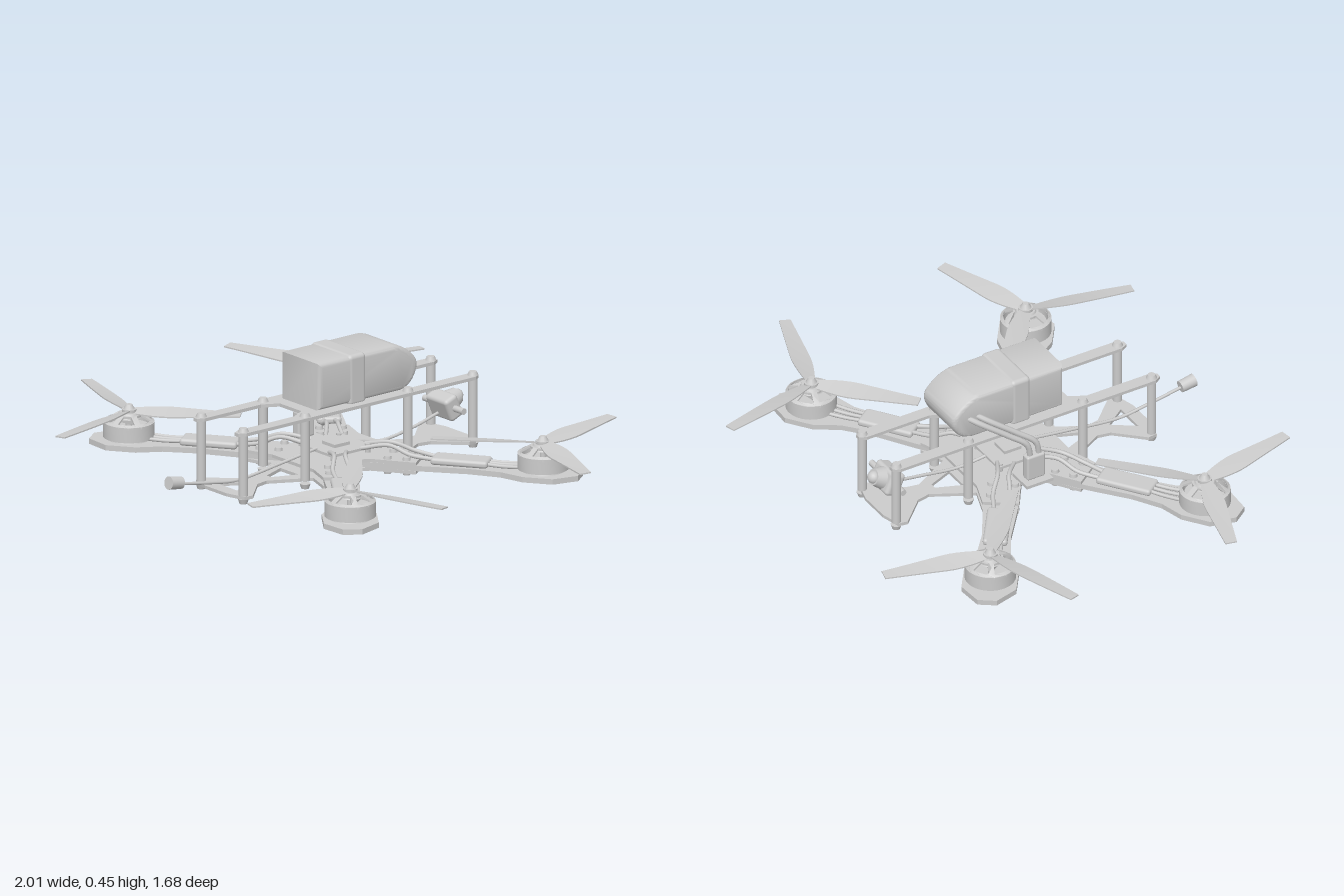
import * as THREE from 'three';
import { RoundedBoxGeometry } from 'three/addons/geometries/RoundedBoxGeometry.js';
import { toCreasedNormals } from 'three/addons/utils/BufferGeometryUtils.js';

const grey = new THREE.MeshStandardMaterial({ color: 0xcccccc });
const V = (x, y, z) => new THREE.Vector3(x, y, z);

function add(parent, name, geo, x = 0, y = 0, z = 0) {
  const m = new THREE.Mesh(geo, grey);
  m.name = name;
  m.position.set(x, y, z);
  parent.add(m);
  return m;
}
const cyl = (rTop, rBottom, h, n = 20) => new THREE.CylinderGeometry(rTop, rBottom, h, n);
const poly = (pts) => pts.map(([x, z]) => new THREE.Vector2(x, z));

// Flat plate from an (x, z) outline, lying between two heights
function plate(outline, y0, y1, holes = []) {
  const s = new THREE.Shape(poly(outline));
  for (const h of holes) s.holes.push(new THREE.Path(poly(h)));
  const g = new THREE.ExtrudeGeometry(s, { depth: y1 - y0, bevelEnabled: false });
  return g.rotateX(Math.PI / 2).translate(0, y1, 0);
}
// Complete a quarter outline (+x axis to +z axis) by mirroring in x and z
function fourfold(q) {
  const half = [...q, ...q.slice().reverse().map(([x, z]) => [-x, z])];
  return [...half, ...half.slice().reverse().map(([x, z]) => [x, -z])];
}
const mirrorZ = (q) => [...q, ...q.slice().reverse().map(([x, z]) => [x, -z])];

function wire(parent, name, pts, r = 0.008) {
  const c = new THREE.CatmullRomCurve3(pts.map((p) => V(...p)));
  add(parent, name, new THREE.TubeGeometry(c, 20, r, 8));
}

// Thin twisted blade along +x
function bladeGeometry(pitch) {
  const len = 0.4;
  const g = new THREE.BoxGeometry(len, 0.005, 1, 14, 1, 4).translate(len / 2, 0, 0);
  const p = g.attributes.position;
  for (let i = 0; i < p.count; i++) {
    const t = p.getX(i) / len;
    const w = t < 0.4 ? 0.03 + 0.046 * Math.sin((t / 0.4) * Math.PI / 2) : 0.076 - 0.034 * (t - 0.4) / 0.6;
    const c = p.getZ(i) * w;
    const a = pitch * (0.3 - 0.24 * t);
    p.setXYZ(i, p.getX(i), p.getY(i) + c * Math.sin(a), c * Math.cos(a));
  }
  return toCreasedNormals(g, 0.6);
}

// Spoked cone on top of the motor bell
function spokedTop() {
  const s = new THREE.Shape().absarc(0, 0, 0.092, 0, Math.PI * 2);
  for (let i = 0; i < 6; i++) {
    const a = (i * Math.PI) / 3;
    const h = new THREE.Path();
    h.absarc(0, 0, 0.08, a, a + 0.78, false);
    h.absarc(0, 0, 0.046, a + 0.68, a + 0.1, true);
    s.holes.push(h);
  }
  const g = new THREE.ExtrudeGeometry(s, { depth: 0.008, bevelEnabled: false, curveSegments: 24 });
  g.rotateX(Math.PI / 2);
  const p = g.attributes.position;
  for (let i = 0; i < p.count; i++) {
    const r = Math.hypot(p.getX(i), p.getZ(i));
    p.setY(i, p.getY(i) + Math.min(0.6 * (0.092 - r), 0.03));
  }
  return toCreasedNormals(g, 0.5);
}

function motor(parent, x, y) {
  const g = new THREE.Group();
  g.name = 'motor';
  g.position.set(x, y, 0);
  parent.add(g);
  add(g, 'motorBase', cyl(0.07, 0.075, 0.012, 28), 0, 0.006, 0);
  const ring = [[0.08, 0.01], [0.092, 0.01], [0.092, 0.064], [0.08, 0.064], [0.08, 0.01]];
  add(g, 'motorBell', toCreasedNormals(new THREE.LatheGeometry(poly(ring), 36), 0.6));
  add(g, 'motorStator', cyl(0.074, 0.074, 0.038, 24), 0, 0.03, 0);
  add(g, 'motorTop', spokedTop(), 0, 0.066, 0);
  add(g, 'motorHub', cyl(0.034, 0.046, 0.02, 24), 0, 0.09, 0);
  add(g, 'motorShaft', cyl(0.012, 0.012, 0.06, 12), 0, 0.08, 0);
}

function propeller(parent, sx, sz) {
  const g = new THREE.Group();
  g.name = 'propeller';
  g.position.set(sx * 0.615, 0.153, sz * 0.445);
  parent.add(g);
  const blade = bladeGeometry(sx * sz);
  for (const deg of [102.5, -17.5, 222.5]) {
    const a = THREE.MathUtils.degToRad(deg);
    add(g, 'blade', blade).rotation.y = -Math.atan2(sz * Math.sin(a), sx * Math.cos(a));
  }
  add(g, 'propellerHub', cyl(0.026, 0.026, 0.016), 0, 0, 0);
  add(g, 'propellerNut', cyl(0.011, 0.021, 0.018, 12), 0, 0.016, 0);
}

// Arm along local +x with motor, speed controller, leads and screws
function arm(parent, sx, sz) {
  const g = new THREE.Group();
  g.name = 'arm';
  g.rotation.y = -Math.atan2(sz * 0.445, sx * 0.615);
  parent.add(g);
  const R = 0.76;
  const side = [[R + 0.137, 0.035], [R + 0.06, 0.098], [R - 0.05, 0.098], [R - 0.14, 0.062],
    [0.5, 0.052], [0.33, 0.062], [0.09, 0.062]];
  add(g, 'armPlate', plate(mirrorZ(side), 0.03, 0.05));
  motor(g, R, 0.05);
  add(g, 'speedController', new RoundedBoxGeometry(0.21, 0.026, 0.088, 3, 0.011), 0.46, 0.063, 0);
  for (const k of [-1, 0, 1]) {
    wire(g, 'motorLead', [[0.56, 0.062, k * 0.022], [0.62, 0.06, k * 0.025], [0.7, 0.064, k * 0.03]], 0.007);
  }
  for (const k of [-1, 1]) {
    wire(g, 'powerLead', [[0.36, 0.065, k * 0.02], [0.28, 0.078, k * 0.03], [0.2, 0.105, k * 0.02], [0.1, 0.09, k * 0.03]], 0.008);
    for (const r of [0.2, 0.27]) {
      add(g, 'armScrewTop', cyl(0.013, 0.015, 0.012, 12), r, 0.068, k * 0.042);
      add(g, 'armScrewBottom', cyl(0.015, 0.013, 0.01, 12), r, 0.013, k * 0.042);
    }
  }
}

export function createModel() {
  const root = new THREE.Group();
  root.name = 'quadcopter';

  // Bottom sandwich: long waisted plate and short upper plate
  const cross = [[0.13, 0], [0.15, 0.035], [0.289, 0.129], [0.213, 0.235], [0.115, 0.2]];
  const ends = [[0.035, 0.35], [0.045, 0.4], [0.14, 0.5], [0.135, 0.535], [0.06, 0.555]];
  const hole = (s) => [[-0.05, 0.215 * s], [0.05, 0.215 * s], [0.012, 0.31 * s], [-0.012, 0.31 * s]];
  const flareHole = [[0, 0.42], [0.06, 0.505], [-0.06, 0.505]];
  add(root, 'bottomPlate', plate(fourfold([...cross, ...ends]), 0.018, 0.03, [hole(1), hole(-1), flareHole]));
  add(root, 'middlePlate', plate(fourfold(cross), 0.05, 0.062));

  // Top plate with open rails at both ends
  const rail = [[0.14, 0], [0.14, 0.53], [0.125, 0.555], [0.105, 0.555], [0.092, 0.53], [0.092, 0.27], [0.06, 0.21]];
  const slot = [[-0.05, -0.1], [0.05, -0.1], [0.05, 0.1], [-0.05, 0.1]];
  add(root, 'topPlate', plate(fourfold(rail), 0.255, 0.267, [slot]));

  // Standoffs with screw heads
  for (const x of [-0.117, 0.117]) {
    for (const z of [0.525, 0.24, -0.235, -0.535]) {
      add(root, 'standoff', cyl(0.017, 0.017, 0.227, 16), x, 0.142, z);
      add(root, 'standoffScrewTop', cyl(0.014, 0.02, 0.014, 16), x, 0.274, z);
      add(root, 'standoffScrewBottom', cyl(0.02, 0.014, 0.018, 16), x, 0.009, z);
    }
  }

  // Arms and propellers
  for (const sx of [-1, 1]) {
    for (const sz of [-1, 1]) {
      arm(root, sx, sz);
      propeller(root, sx, sz);
    }
  }

  // Flight controller stack
  add(root, 'flightController', new THREE.BoxGeometry(0.19, 0.01, 0.19), 0, 0.083, 0);
  add(root, 'controllerChip', new THREE.BoxGeometry(0.07, 0.012, 0.07), 0, 0.094, 0);
  for (const x of [-0.08, 0.08]) {
    for (const z of [-0.08, 0.08]) add(root, 'stackSpacer', cyl(0.01, 0.01, 0.035, 12), x, 0.077, z);
  }

  // Battery with a sloping rear and a strap
  const s = new THREE.Shape();
  s.moveTo(0.15, 0.287);
  s.lineTo(0.15, 0.425);
  s.lineTo(-0.18, 0.425);
  s.bezierCurveTo(-0.22, 0.42, -0.262, 0.385, -0.272, 0.365);
  s.quadraticCurveTo(-0.278, 0.345, -0.262, 0.32);
  s.quadraticCurveTo(-0.245, 0.29, -0.21, 0.287);
  s.closePath();
  const batt = new THREE.ExtrudeGeometry(s, { depth: 0.18, bevelSize: 0.018, bevelThickness: 0.018, bevelSegments: 4 });
  batt.translate(0, 0, -0.09).rotateY(-Math.PI / 2);
  add(root, 'battery', toCreasedNormals(batt, 0.6));
  add(root, 'batteryStrap', new RoundedBoxGeometry(0.222, 0.19, 0.08, 3, 0.016), 0, 0.352, -0.01);

  // Power connector and battery leads on the right side
  add(root, 'connectorTray', new THREE.BoxGeometry(0.1, 0.012, 0.11), -0.18, 0.068, -0.005);
  add(root, 'powerConnector', new RoundedBoxGeometry(0.036, 0.1, 0.075, 3, 0.008), -0.184, 0.122, -0.003);
  for (const k of [-1, 1]) {
    const z = k * 0.018;
    wire(root, 'batteryLead', [[-0.184, 0.16, z], [-0.185, 0.22, z - 0.015], [-0.165, 0.27, z - 0.08],
      [-0.13, 0.33, z - 0.17], [-0.09, 0.36, z - 0.22]], 0.011);
  }

  // Camera looking backwards and up
  const cam = new THREE.Group();
  cam.name = 'camera';
  cam.position.set(0, 0.135, -0.5);
  cam.rotation.x = 0.4;
  root.add(cam);
  add(cam, 'cameraBody', new RoundedBoxGeometry(0.12, 0.09, 0.06, 3, 0.014));
  add(cam, 'lensBarrel', cyl(0.03, 0.042, 0.04, 24), 0, 0, -0.045).rotation.x = -Math.PI / 2;
  add(cam, 'lens', new THREE.SphereGeometry(0.024, 20, 12), 0, 0, -0.062);
  for (const x of [-0.08, 0.08]) add(cam, 'cameraPivot', cyl(0.012, 0.012, 0.06, 12), x, 0, 0).rotation.z = Math.PI / 2;
  wire(root, 'cameraCable', [[0, 0.11, -0.47], [0.01, 0.085, -0.35], [0.01, 0.065, -0.2], [0, 0.083, -0.09]], 0.006);

  // Front antenna
  wire(root, 'antennaCable', [[0, 0.09, 0.09], [0, 0.068, 0.25], [0, 0.045, 0.46], [0, 0.06, 0.58], [0, 0.084, 0.72]], 0.006);
  add(root, 'antennaTip', cyl(0.024, 0.022, 0.058, 20), 0, 0.092, 0.744).rotation.x = Math.PI / 2 - 0.17;

  return root;
}
